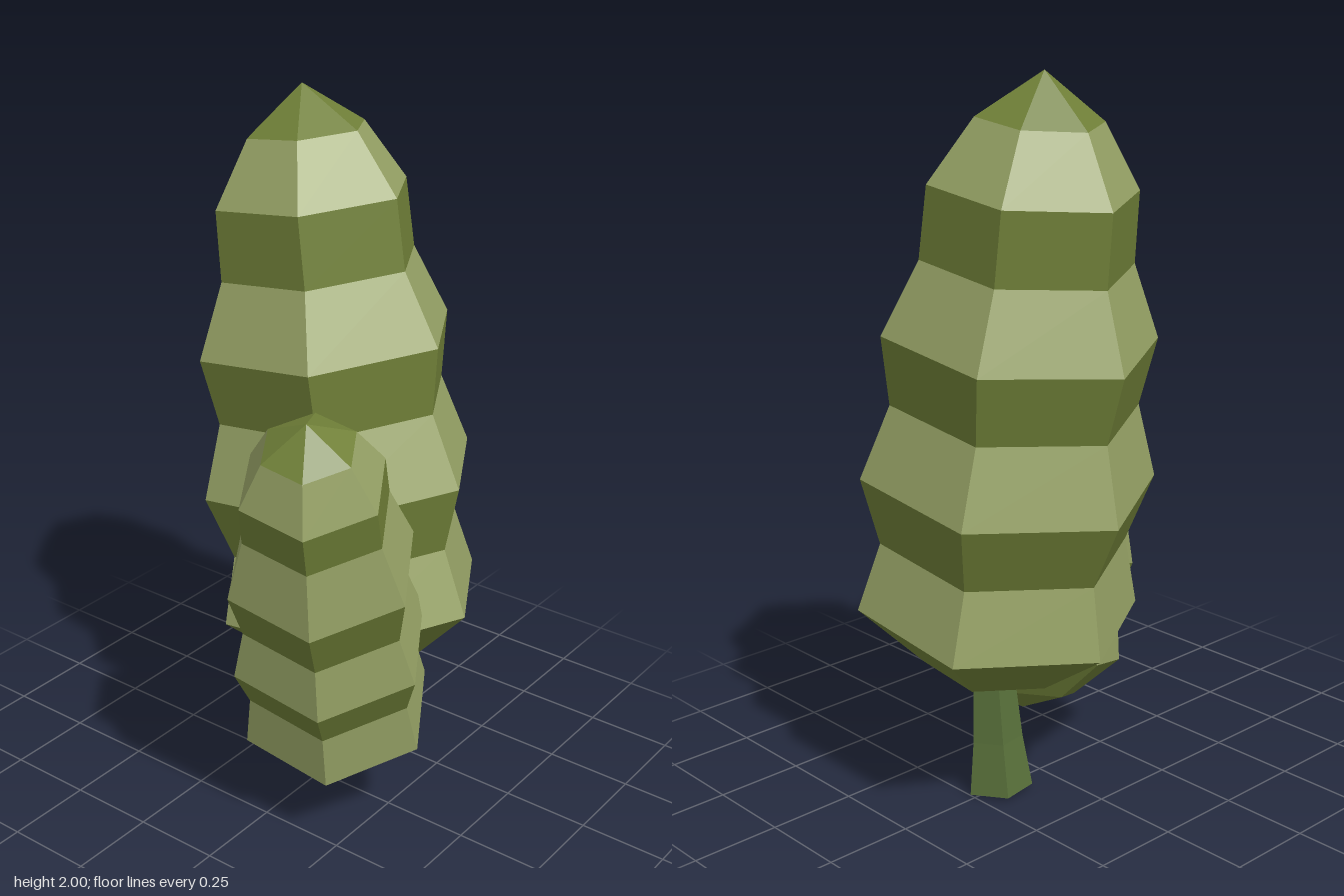
import * as THREE from 'three';
import { mergeGeometries } from 'three/addons/utils/BufferGeometryUtils.js';

const flat = (color) => new THREE.MeshStandardMaterial({ color, flatShading: true });

// Six-sided foliage with alternating light and dark bands along a leaning axis.
// rings: [radius, height of the ring centre], from the bottom point to the tip.
function foliage(name, base, tip, rings, lightMat, darkMat) {
  const axis = tip.clone().sub(base);
  const stretch = axis.length() / axis.y;
  const bands = [[], []];
  for (let i = 0; i < rings.length - 1; i++) {
    const [r0, y0] = rings[i];
    const [r1, y1] = rings[i + 1];
    const band = new THREE.CylinderGeometry(r1, r0, (y1 - y0) * stretch, 6, 1, true);
    band.translate(0, ((y0 + y1) / 2 - base.y) * stretch, 0);
    // the two lowest bands share the dark colour
    bands[i === 0 ? 1 : i % 2].push(band);
  }
  const group = new THREE.Group();
  group.name = name;
  const light = new THREE.Mesh(mergeGeometries(bands[0]), lightMat);
  light.name = 'lightBands';
  const dark = new THREE.Mesh(mergeGeometries(bands[1]), darkMat);
  dark.name = 'darkBands';
  group.add(light, dark);
  group.position.copy(base);
  group.quaternion.setFromUnitVectors(new THREE.Vector3(0, 1, 0), axis.normalize());
  return group;
}

export function createModel() {
  const model = new THREE.Group();
  model.name = 'tree';
  const lightMat = flat(0x97a366);
  const darkMat = flat(0x708038);

  // Tall crown, leaning slightly back
  model.add(foliage('tallCrown',
    new THREE.Vector3(0.15, 0.32, 0.03), new THREE.Vector3(0.15, 2, -0.175),
    [[0, 0.32], [0.2, 0.385], [0.39, 0.55], [0.34, 0.745], [0.402, 0.93], [0.335, 1.135],
      [0.368, 1.32], [0.282, 1.52], [0.275, 1.71], [0.167, 1.88], [0, 2]],
    lightMat, darkMat));

  // Short crown, leaning outward and forward
  model.add(foliage('shortCrown',
    new THREE.Vector3(-0.017, 0.16, 0.09), new THREE.Vector3(-0.4, 1.34, 0.266),
    [[0, 0.16], [0.15, 0.21], [0.275, 0.315], [0.248, 0.47], [0.28, 0.585], [0.238, 0.73],
      [0.263, 0.87], [0.203, 1.04], [0.198, 1.15], [0.127, 1.265], [0, 1.34]],
    lightMat, darkMat));

  // Five-sided trunk, flared at the foot
  const profile = [[0, 0], [0.095, 0], [0.075, 0.15], [0.063, 0.32], [0.06, 0.45], [0, 0.45]]
    .map(([r, y]) => new THREE.Vector2(r, y));
  const trunk = new THREE.Mesh(
    new THREE.LatheGeometry(profile, 5, THREE.MathUtils.degToRad(10)), flat(0x58703a));
  trunk.name = 'trunk';
  trunk.position.set(0.16, 0.007, 0);
  trunk.rotation.x = 0.07;
  model.add(trunk);

  return model;
}
